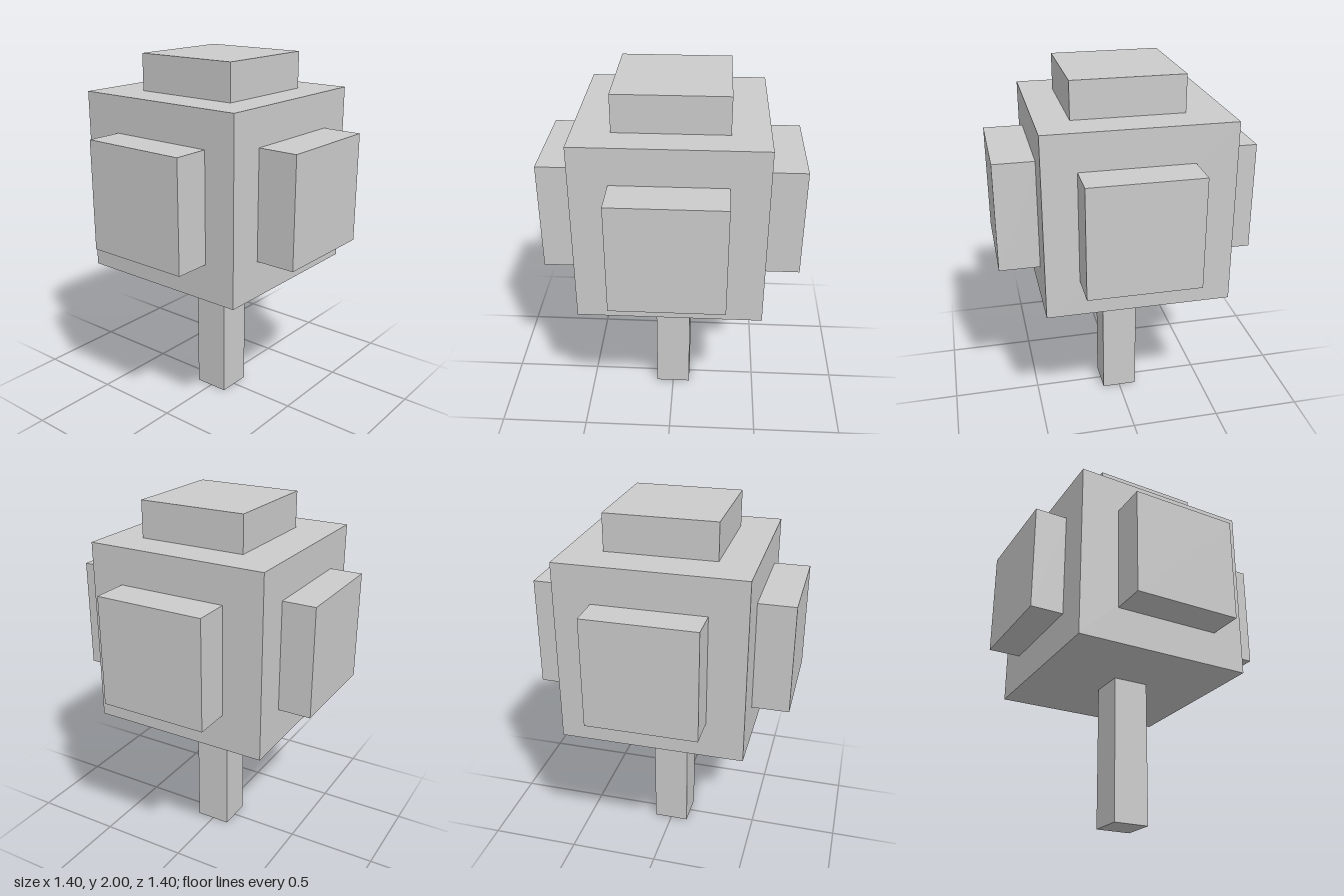
import * as THREE from 'three';

export function createModel() {
  const group = new THREE.Group();
  const material = new THREE.MeshStandardMaterial({ color: 0xcccccc, flatShading: true });

  // Box given by its lowest and highest corners
  function block(name, min, max) {
    const size = max.map((v, i) => v - min[i]);
    const mesh = new THREE.Mesh(new THREE.BoxGeometry(...size), material);
    mesh.position.set(...max.map((v, i) => (v + min[i]) / 2));
    mesh.name = name;
    group.add(mesh);
  }

  // Trunk and main crown cube, which sits slightly towards the back
  block('trunk', [-0.1, 0, -0.1], [0.1, 0.81, 0.1]);
  block('crown', [-0.5, 0.8, -0.52], [0.5, 1.8, 0.48]);

  // Raised foliage blocks, sunk a little into the crown
  block('topFoliage', [-0.3, 1.78, -0.3], [0.3, 2, 0.3]);
  block('leftFoliage', [0.48, 1, -0.3], [0.7, 1.6, 0.3]);
  block('rightFoliage', [-0.7, 1, -0.3], [-0.48, 1.6, 0.3]);
  block('frontFoliage', [-0.3, 1, 0.46], [0.3, 1.6, 0.7]);
  block('backFoliage', [-0.3, 1, -0.7], [0.3, 1.6, -0.5]);

  return group;
}
